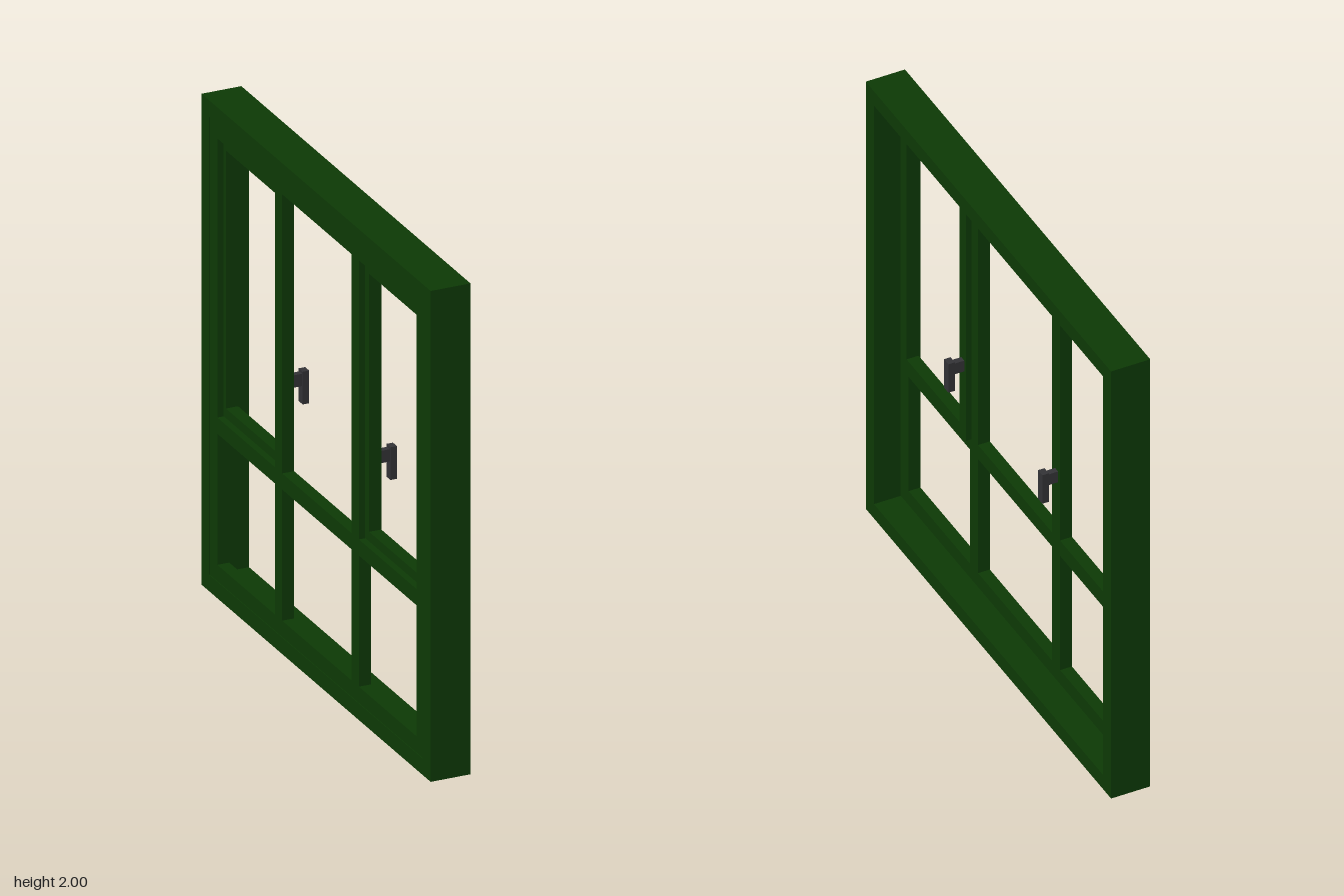
import * as THREE from 'three';

const green = new THREE.MeshStandardMaterial({ color: 0x0d3a05 });
const dark = new THREE.MeshStandardMaterial({ color: 0x333336 });

// Counter-clockwise rectangle from [z0, z1, y0, y1]; shape x maps to -z after rotation
function trace(path, [z0, z1, y0, y1]) {
  path.moveTo(-z1, y0);
  path.lineTo(-z0, y0);
  path.lineTo(-z0, y1);
  path.lineTo(-z1, y1);
  path.closePath();
  return path;
}

// Flat panel with rectangular openings, lying between depths x0 and x1
function panel(name, outer, holes, x0, x1) {
  const shape = trace(new THREE.Shape(), outer);
  shape.holes = holes.map((h) => trace(new THREE.Path(), h));
  const geo = new THREE.ExtrudeGeometry(shape, { depth: x1 - x0, bevelEnabled: false });
  geo.rotateY(Math.PI / 2).translate(x0, 0, 0);
  const mesh = new THREE.Mesh(geo, green);
  mesh.name = name;
  return mesh;
}

function box(name, [x0, x1], [y0, y1], [z0, z1]) {
  const geo = new THREE.BoxGeometry(x1 - x0, y1 - y0, z1 - z0);
  geo.translate((x0 + x1) / 2, (y0 + y1) / 2, (z0 + z1) / 2);
  const mesh = new THREE.Mesh(geo, dark);
  mesh.name = name;
  return mesh;
}

export function createModel() {
  const model = new THREE.Group();
  model.name = 'window';

  // Deep surround
  const rebate = [-0.933, 0.933, 0.067, 1.933];
  model.add(panel('outerFrame', [-1, 1, 0, 2], [rebate], -0.082, 0.082));

  // Recessed frame with mullions and transom: three columns by two rows
  const columns = [[-0.868, -0.367], [-0.302, 0.302], [0.367, 0.868]];
  const rows = [[0.133, 0.667], [0.733, 1.87]];
  const openings = columns.flatMap((c) => rows.map((r) => [...c, ...r]));
  model.add(panel('innerFrame', rebate, openings, -0.079, -0.03));

  // Opening casements, mirrored about the middle
  for (const s of [1, -1]) {
    const span = (a, b) => (s > 0 ? [a, b] : [-b, -a]);
    const sash = new THREE.Group();
    sash.name = s > 0 ? 'casementPositiveZ' : 'casementNegativeZ';
    const pane = [...span(0.41, 0.84), 0.777, 1.828];
    sash.add(panel('sashFlange', [...span(0.358, 0.892), 0.722, 1.885], [pane], -0.03, -0.007));
    sash.add(panel('sashBody', [...span(0.372, 0.863), 0.738, 1.865], [pane], -0.057, -0.03));

    // Handle: short neck near the top of an upright lever
    sash.add(box('handleNeck', [-0.007, 0.035], [1.04, 1.09], span(0.37, 0.395)));
    sash.add(box('handleLever', [0.035, 0.062], [0.967, 1.1], span(0.365, 0.401)));
    model.add(sash);
  }
  return model;
}
